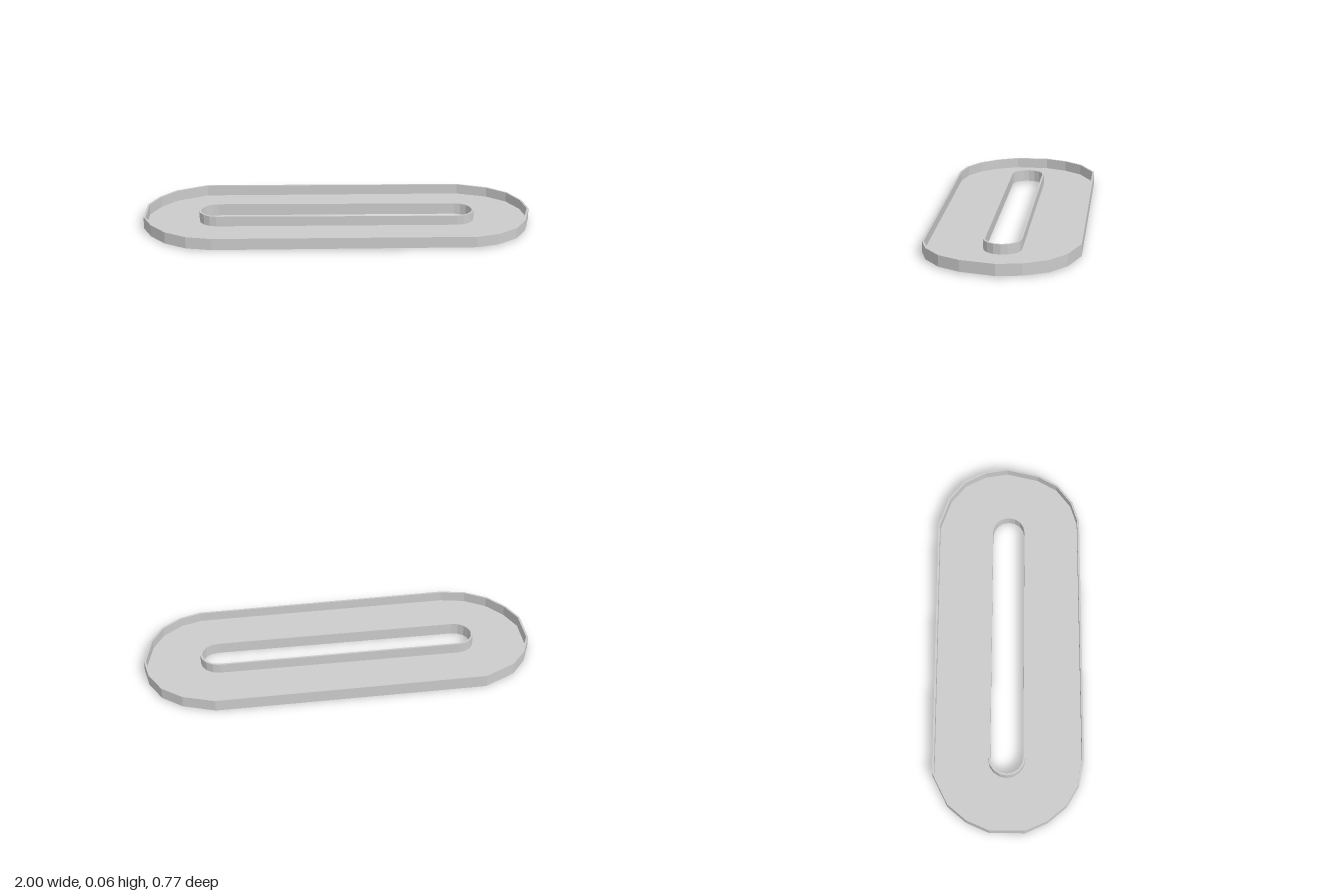
import * as THREE from 'three';

const RIM_TOP = 0.065, FLOOR_THICKNESS = 0.008, WALL = 0.01;

// Faceted oblong outline as [x, z], running anticlockwise seen from above
const OUTER = [
  [-0.87, -0.3], [-0.95, -0.205], [-1, -0.09], [-1, 0.09], [-0.95, 0.2],
  [-0.87, 0.295], [-0.76, 0.36], [-0.63, 0.385], [0.69, 0.372], [0.8, 0.337],
  [0.9, 0.26], [0.96, 0.155], [1, -0.015], [0.98, -0.135], [0.92, -0.25],
  [0.82, -0.33], [0.66, -0.385], [-0.71, -0.38],
].map(([x, z]) => new THREE.Vector2(x, -z));

// Round-ended slot with faceted ends
function slotOutline(radius, steps = 8) {
  const points = [];
  for (const side of [1, -1]) {
    for (let i = 0; i <= steps; i++) {
      const a = Math.PI * (i / steps - 0.5);
      points.push(new THREE.Vector2(
        side * (0.622 + radius * Math.cos(a)) - 0.005,
        side * radius * Math.sin(a) + 0.005));
    }
  }
  return points;
}

// Moves an anticlockwise outline inwards by an even distance
function inset(points, d) {
  const n = points.length;
  return points.map((p, i) => {
    const a = p.clone().sub(points[(i + n - 1) % n]).normalize();
    const b = points[(i + 1) % n].clone().sub(p).normalize();
    const normal = new THREE.Vector2(-a.y - b.y, a.x + b.x).normalize();
    return p.clone().addScaledVector(normal, d / a.cross(normal));
  });
}

// The underside dips slightly towards the back right corner
const baseHeight = (x, z) => 0.005 + 0.003 * x + 0.006 * z;

// Upright plate or wall between an outline and a hole
function slab(name, outline, hole, bottom, top, material) {
  const shape = new THREE.Shape(outline);
  shape.holes.push(new THREE.Path([...hole].reverse()));
  const geometry = new THREE.ExtrudeGeometry(shape, { depth: top - bottom, bevelEnabled: false });
  geometry.rotateX(-Math.PI / 2).translate(0, bottom, 0);
  const pos = geometry.attributes.position;
  for (let i = 0; i < pos.count; i++) {
    const y = pos.getY(i);
    if (y < RIM_TOP / 2) pos.setY(i, y + baseHeight(pos.getX(i), pos.getZ(i)));
  }
  geometry.computeVertexNormals();
  const mesh = new THREE.Mesh(geometry, material);
  mesh.name = name;
  return mesh;
}

export function createModel() {
  const group = new THREE.Group();
  group.name = 'slottedTray';
  const material = new THREE.MeshStandardMaterial({
    color: 0xcccccc, flatShading: true, side: THREE.DoubleSide,
  });
  const slot = slotOutline(0.084);

  group.add(
    slab('floor', OUTER, slot, 0, FLOOR_THICKNESS, material),
    slab('outerWall', OUTER, inset(OUTER, WALL), FLOOR_THICKNESS, RIM_TOP, material),
    slab('slotWall', slotOutline(0.084 + WALL), slot, FLOOR_THICKNESS, RIM_TOP, material),
  );
  return group;
}
